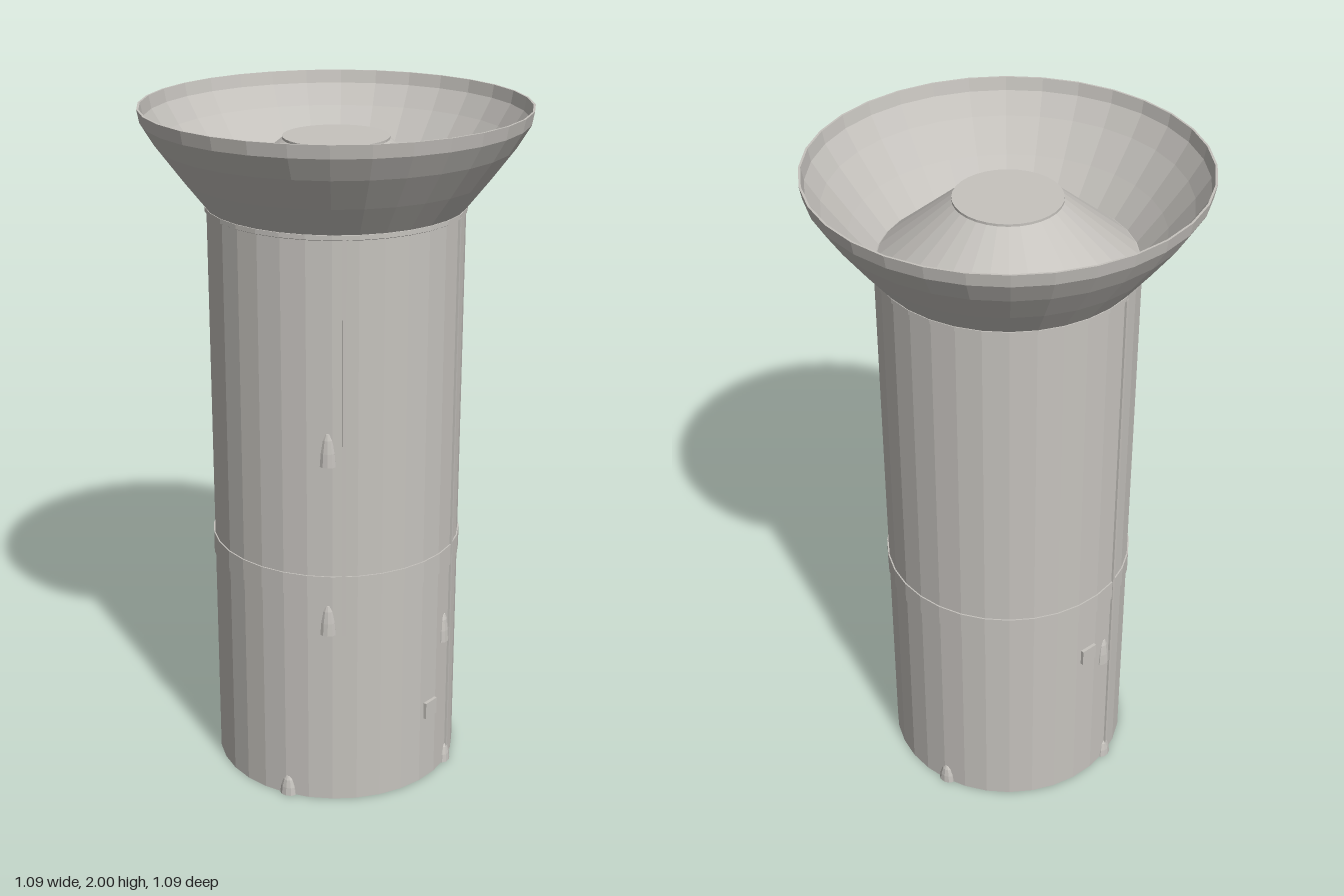
import * as THREE from 'three';

const SIDES = 32;
const RADIUS = 0.365;

export function createModel() {
  const model = new THREE.Group();
  model.name = 'boosterStage';
  const grey = new THREE.MeshStandardMaterial({ color: 0xc6c3be, flatShading: true, side: THREE.DoubleSide });
  grey.name = 'warm grey';

  const add = (name, geometry) => {
    const mesh = new THREE.Mesh(geometry, grey);
    mesh.name = name;
    model.add(mesh);
    return mesh;
  };
  const turned = (name, profile, sides = SIDES) =>
    add(name, new THREE.LatheGeometry(profile.map(([r, y]) => new THREE.Vector2(r, y)), sides));

  // Puts a part on the hull, facing outwards, at an angle from the front
  const onHull = (mesh, degrees, y, r = RADIUS) => {
    const a = THREE.MathUtils.degToRad(degrees);
    mesh.position.set(r * Math.sin(a), y, r * Math.cos(a));
    mesh.rotation.y = a;
    return mesh;
  };

  // Hollow hull with a slightly recessed lower rim
  turned('hull', [
    [0, 1.6], [0.25, 1.6], [0.25, 0.005], [0.35, 0.02], [0.355, 0],
    [RADIUS, 0], [RADIUS, 1.72], [0.355, 1.73],
  ]);

  // Raised band and collar
  turned('band', [[0.362, 0.67], [0.369, 0.67], [0.369, 0.735], [0.362, 0.735]]);
  turned('collar', [[0.362, 1.708], [0.37, 1.712], [0.37, 1.725], [0.355, 1.73]]);

  // Thin flared skirt, outside then inside
  turned('skirt', [
    [0.368, 1.725], [0.435, 1.81], [0.502, 1.9], [0.54, 1.963], [0.547, 2],
    [0.541, 2], [0.534, 1.963], [0.496, 1.902], [0.429, 1.813], [0.36, 1.728],
  ]);

  // Truncated dome inside the skirt
  turned('innerCone', [[0.357, 1.73], [0.15, 1.905], [0.15, 1.912], [0, 1.912]]);

  // Cable ducts
  const duct = (degrees, bottom, top) =>
    onHull(add('cableDuct', new THREE.BoxGeometry(0.01, top - bottom, 0.014)), degrees, (bottom + top) / 2, 0.364);
  duct(23.4, 0, 1.715);
  duct(203.4, 0, 1.715);
  duct(-40, 0.55, 1.715);

  // Small pointed fairings, flattened against the hull
  const fairing = (name, degrees, bottom, height, width) => {
    const w = width / 2;
    const mesh = turned(name, [
      [0, 0], [w, 0], [w * 0.88, height * 0.4], [w * 0.6, height * 0.78], [w * 0.28, height * 0.96], [0, height],
    ], 10);
    mesh.scale.z = 0.7;
    onHull(mesh, degrees, bottom, 0.361);
  };
  fairing('sideFairing', -47, 1.07, 0.1, 0.046);
  fairing('sideFairing', -47, 0.55, 0.095, 0.046);
  for (const turn of [0, 180]) fairing('ductFairing', 18.8 + turn, 0.43, 0.09, 0.048);
  for (let i = 0; i < 4; i++) fairing('baseFairing', 23.4 + i * 90, 0, 0.062, 0.052);

  // Square hatches
  for (const [degrees, y] of [[6.6, 0.235], [186.6, 0.515]]) {
    onHull(add('hatch', new THREE.BoxGeometry(0.052, 0.052, 0.02)), degrees, y, 0.363);
  }

  return model;
}
